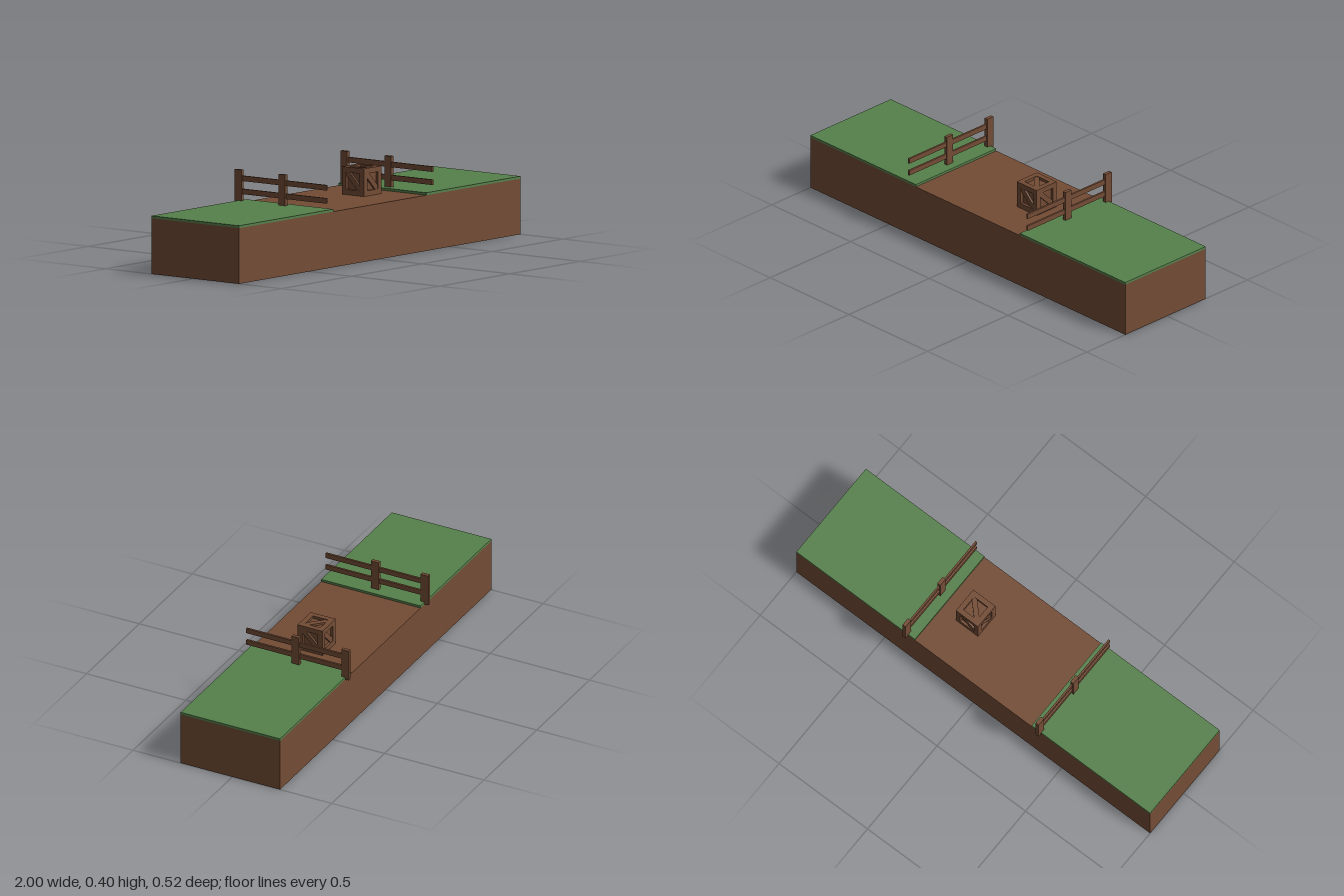
import * as THREE from 'three';

const brown = new THREE.MeshStandardMaterial({ color: 0x734c35 });
brown.name = 'earthBrown';
const green = new THREE.MeshStandardMaterial({ color: 0x56804b });
green.name = 'grassGreen';

function box(name, material, size, position) {
  const mesh = new THREE.Mesh(new THREE.BoxGeometry(...size), material);
  mesh.name = name;
  mesh.position.set(...position);
  return mesh;
}

// Fence: two posts joined by two rails that run on to the front edge
function makeFence(x) {
  const fence = new THREE.Group();
  fence.name = 'fence';
  for (const z of [-0.24, 0.01]) fence.add(box('fencePost', brown, [0.017, 0.15, 0.038], [x, 0.325, z]));
  for (const y of [0.303, 0.362]) fence.add(box('fenceRail', brown, [0.009, 0.024, 0.49], [x, y, 0.015]));
  return fence;
}

// Crate: recessed core, twelve edge beams and a diagonal brace on each face
function makeCrate() {
  const S = 0.125, B = 0.024, recess = 0.013;
  const crate = new THREE.Group();
  crate.name = 'crate';
  const coreSize = S - 2 * recess;
  crate.add(box('cratePanels', brown, [coreSize, coreSize, coreSize], [0, 0, 0]));

  const o = (S - B) / 2;
  for (const a of [-o, o]) {
    for (const b of [-o, o]) {
      crate.add(box('crateBeam', brown, [B, S, B], [a, 0, b]));
      crate.add(box('crateBeam', brown, [S - 2 * B, B, B], [0, a, b]));
      crate.add(box('crateBeam', brown, [B, B, S - 2 * B], [a, b, 0]));
    }
  }

  // Brace fills the opening from its upper left to its lower right corner
  const h = S / 2 - B, w = 0.017;
  const shape = new THREE.Shape([
    [-h, h], [-h, h - w], [h - w, -h], [h, -h], [h, -h + w], [-h + w, h],
  ].map(([x, y]) => new THREE.Vector2(x, y)));
  const braceGeometry = new THREE.ExtrudeGeometry(shape, { depth: recess - 0.003, bevelEnabled: false });
  braceGeometry.translate(0, 0, S / 2 - recess);
  const turns = [[0, 0], [0, 1], [0, 2], [0, 3], [-1, 0], [1, 0]];
  for (const [rx, ry] of turns) {
    const brace = new THREE.Mesh(braceGeometry, brown);
    brace.name = 'crateBrace';
    brace.rotation.set(rx * Math.PI / 2, ry * Math.PI / 2, 0);
    crate.add(brace);
  }
  crate.position.set(0.183, 0.25 + S / 2, 0.01);
  return crate;
}

export function createModel() {
  const model = new THREE.Group();
  model.name = 'fencedPath';
  model.add(box('earthBlock', brown, [2, 0.25, 0.5], [0, 0.125, 0.01]));
  for (const side of [-1, 1]) {
    model.add(box('grassSlab', green, [0.67, 0.011, 0.5], [side * 0.665, 0.2555, 0.01]));
    model.add(makeFence(side * 0.376));
  }
  model.add(makeCrate());
  return model;
}
